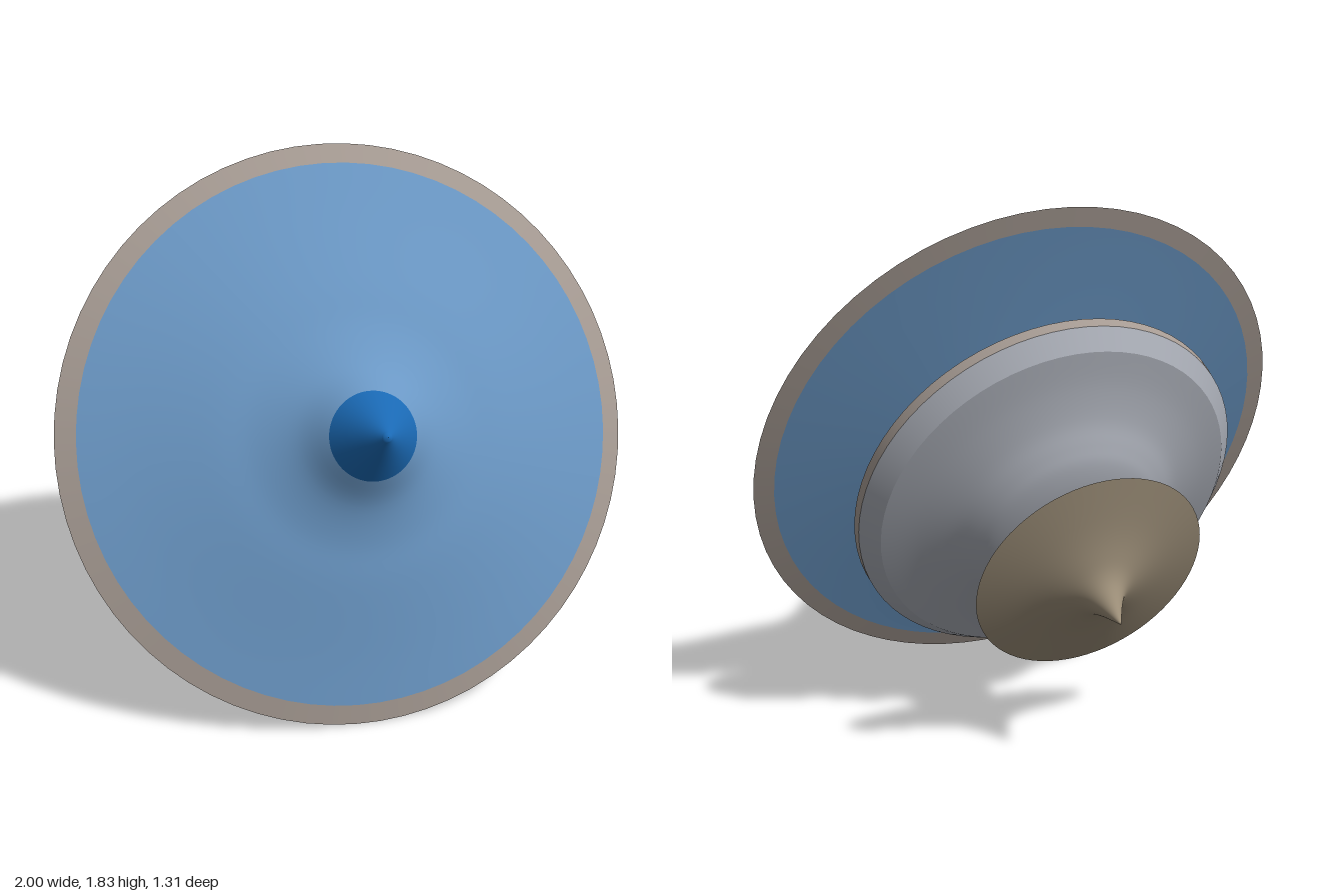
import * as THREE from 'three';

// Turned part on the tier's axis; profile rows are [radius, position], back to front
function turned(name, color, rows, smooth = false) {
  let pts = rows.map(([r, t]) => new THREE.Vector2(r, t));
  if (smooth) {
    pts = new THREE.SplineCurve(pts).getPoints(rows.length * 4);
    pts.forEach((p) => { p.x = Math.max(p.x, 0); });
  }
  const mesh = new THREE.Mesh(
    new THREE.LatheGeometry(pts, 72),
    new THREE.MeshStandardMaterial({ color, side: THREE.DoubleSide })
  );
  mesh.name = name;
  return mesh;
}

// Group of turned parts, set slightly off the main axis sideways and upward
function tier(name, sideways, upward, parts) {
  const group = new THREE.Group();
  group.name = name;
  group.position.set(sideways, 0, -upward);
  group.add(...parts);
  return group;
}

export function createModel() {
  const model = new THREE.Group();
  model.name = 'tieredSpinner';
  const axis = new THREE.Group();
  axis.name = 'tiltedAxis';
  axis.position.set(0, 0.918, 0.205);
  axis.rotation.set(1.152, 0.033, 0, 'YXZ');
  model.add(axis);

  const sky = 0x6a97c4, blue = 0x1a69b4, cloud = 0xa9adb6, trim = 0xa59a92, sand = 0x9c8e78;

  // Large front disc: rim band, flared face, pointed nose, collar and neck behind
  axis.add(tier('frontTier', 0, 0, [
    turned('largeDiscRim', trim, [[1, -0.004], [0.93, 0.02]]),
    turned('largeDiscFace', sky, [[0.93, 0.02], [0.76, 0.066], [0.513, 0.138], [0.36, 0.178], [0.234, 0.235], [0.147, 0.309]], true),
    turned('noseCone', blue, [[0.147, 0.309], [0.064, 0.42], [0.018, 0.478]], true),
    turned('noseTip', blue, [[0.018, 0.478], [0.012, 0.487], [0, 0.49]]),
    turned('largeDiscBack', sky, [[0.43, -0.054], [0.668, -0.03], [0.93, -0.012]]),
    turned('largeDiscBackRim', trim, [[0.93, -0.012], [1, -0.004]]),
    turned('collar', blue, [[0.239, -0.102], [0.33, -0.094], [0.398, -0.08], [0.425, -0.067], [0.43, -0.05]], true),
    turned('neck', 0x8a9a80, [[0.155, -0.43], [0.167, -0.3], [0.172, -0.24], [0.19, -0.16], [0.217, -0.115], [0.25, -0.101]], true),
  ]));

  // Middle disc: hollow front, coloured edge, bevel, domed back and rear post
  axis.add(tier('middleTier', 0.008, 0.017, [
    turned('middleDiscHollow', cloud, [[0.707, -0.25], [0.62, -0.285], [0.42, -0.36], [0.28, -0.4], [0.14, -0.42]].reverse(), true),
    turned('middleDiscEdge', trim, [[0.703, -0.289], [0.707, -0.25]]),
    turned('middleDiscBevel', cloud, [[0.645, -0.352], [0.703, -0.289]]),
    turned('middleDiscBack', cloud, [[0.14, -0.533], [0.22, -0.522], [0.295, -0.499], [0.35, -0.468], [0.422, -0.425], [0.53, -0.383], [0.645, -0.352]], true),
    turned('rearPost', 0xa09a88, [[0.13, -0.715], [0.132, -0.66], [0.142, -0.59], [0.157, -0.525]], true),
  ]));

  // Small rear disc with a pointed tail
  axis.add(tier('rearTier', 0.025, -0.003, [
    turned('smallDiscBack', sand, [[0, -0.938], [0.046, -0.85], [0.087, -0.8], [0.151, -0.765], [0.25, -0.73], [0.408, -0.69]], true),
    turned('smallDiscFront', sand, [[0.1, -0.7], [0.408, -0.69]]),
  ]));
  return model;
}
